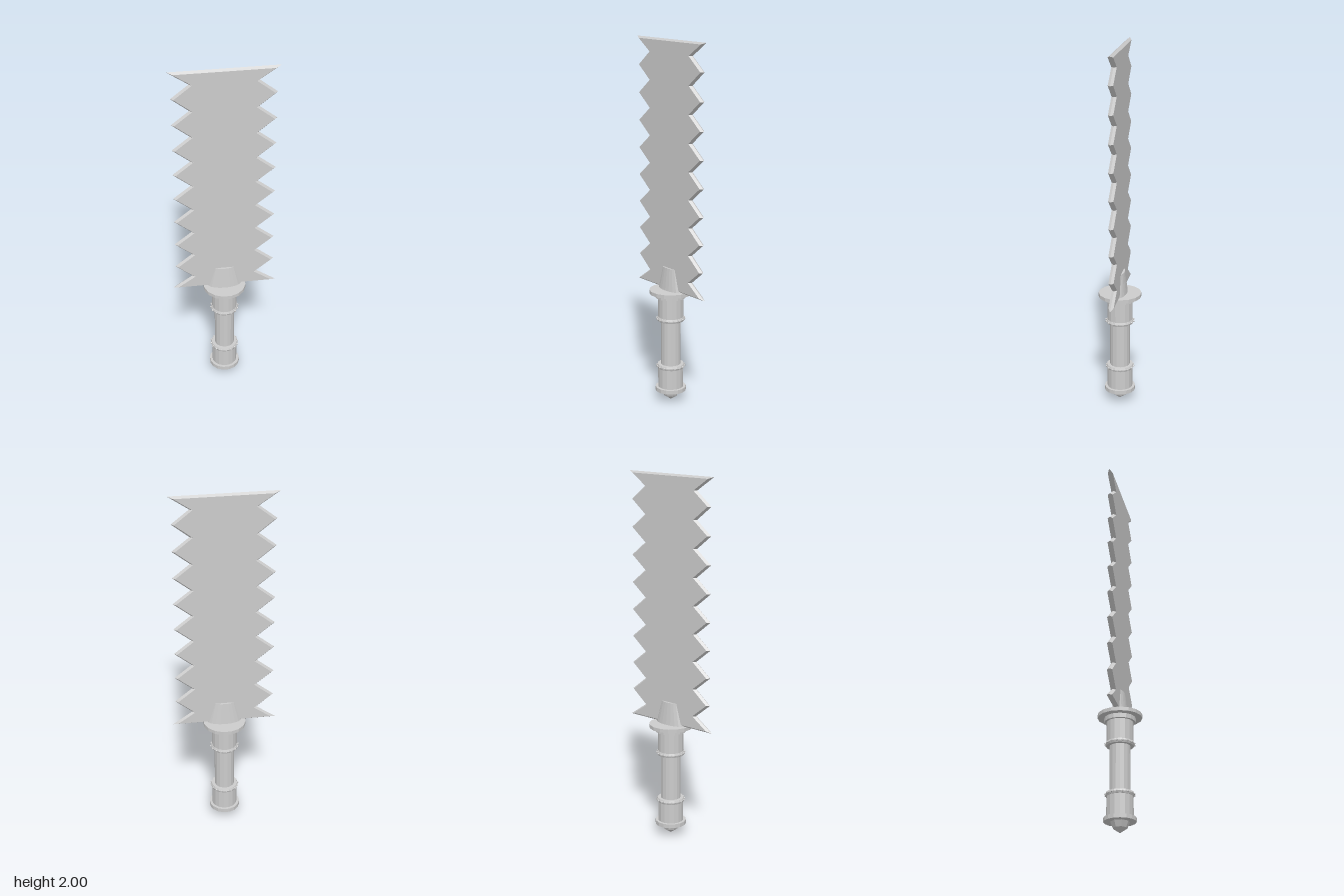
import * as THREE from 'three';

const material = new THREE.MeshStandardMaterial({ color: 0xcccccc, flatShading: true });
const SIDES = 16;

function add(parent, name, geometry) {
  const mesh = new THREE.Mesh(geometry, material);
  mesh.name = name;
  parent.add(mesh);
  return mesh;
}

// Lathe from [radius, y] pairs, listed bottom to top
function turned(profile, sides = SIDES) {
  const g = new THREE.LatheGeometry(profile.map(([r, y]) => new THREE.Vector2(r, y)), sides);
  return g.rotateY(Math.PI / sides);
}

// Saw-toothed blade: sharp outline at z = 0, inset outline on both flat faces
function bladeGeometry() {
  const bottom = 0.642, top = 2, teeth = 9, half = 0.014;
  const step = (top - bottom) / teeth;
  const outer = [], inner = [];
  for (let i = 0; i <= teeth * 2; i++) {
    const y = bottom + (i * step) / 2;
    const end = i === 0 || i === teeth * 2;
    const valley = i % 2 === 1;
    const x = end ? 0.288 : valley ? 0.178 : 0.272;
    const lift = i === 0 ? 0.01 : i === teeth * 2 ? -0.01 : 0;
    outer.push(new THREE.Vector2(x, y));
    inner.push(new THREE.Vector2(x - (end ? 0.03 : 0.015), y + lift));
  }
  const mirror = (list) => list.concat(list.map((p) => new THREE.Vector2(-p.x, p.y)).reverse());
  const rim = mirror(outer), face = mirror(inner);
  const n = rim.length, pos = [];
  const tri = (a, b, c) => pos.push(...a, ...b, ...c);
  const at = (p, z) => [p.x, p.y, z];
  // Bevels to the front and back
  for (let i = 0; i < n; i++) {
    const j = (i + 1) % n;
    const a = at(rim[i], 0), b = at(rim[j], 0);
    const fi = at(face[i], half), fj = at(face[j], half);
    const bi = at(face[i], -half), bj = at(face[j], -half);
    tri(a, b, fj);
    tri(a, fj, fi);
    tri(b, a, bi);
    tri(b, bi, bj);
  }
  // Flat faces
  for (const [i, j, k] of THREE.ShapeUtils.triangulateShape(face, [])) {
    tri(at(face[i], half), at(face[j], half), at(face[k], half));
    tri(at(face[k], -half), at(face[j], -half), at(face[i], -half));
  }
  const g = new THREE.BufferGeometry();
  g.setAttribute('position', new THREE.Float32BufferAttribute(pos, 3));
  g.computeVertexNormals();
  return g;
}

// Narrow band with small studs around it
function studdedBand(name, y) {
  const band = new THREE.Group();
  band.name = name;
  add(band, 'bandRing', turned([[0.05, -0.011], [0.073, -0.011], [0.077, 0], [0.073, 0.011], [0.05, 0.011]]));
  const stud = new THREE.CylinderGeometry(0.004, 0.006, 0.008, 6).rotateX(Math.PI / 2).translate(0, 0, 0.077);
  for (let i = 0; i < SIDES; i++) {
    add(band, 'stud', stud).rotation.y = (i / SIDES) * Math.PI * 2;
  }
  band.position.y = y;
  return band;
}

export function createModel() {
  const sword = new THREE.Group();
  sword.name = 'serratedSword';

  add(sword, 'blade', bladeGeometry());

  // Tapered oval socket holding the blade
  const socket = new THREE.CylinderGeometry(0.061, 0.095, 0.13, 20).scale(1, 1, 0.43);
  add(sword, 'bladeSocket', socket).position.y = 0.7;

  // Guard disc and the collar below it
  add(sword, 'guard', turned([[0, 0.622], [0.118, 0.622], [0.118, 0.642], [0, 0.642]]));
  add(sword, 'guardCollar', turned([[0.06, 0.598], [0.083, 0.598], [0.083, 0.622], [0.06, 0.622]]));

  // Grip with thicker sleeves at both ends
  add(sword, 'grip', turned([[0.055, 0.18], [0.055, 0.49]]));
  add(sword, 'upperSleeve', turned([[0.05, 0.466], [0.07, 0.466], [0.07, 0.61], [0.05, 0.61]]));
  add(sword, 'lowerSleeve', turned([[0.05, 0.07], [0.07, 0.07], [0.07, 0.208], [0.05, 0.208]]));
  sword.add(studdedBand('upperBand', 0.476), studdedBand('lowerBand', 0.202));

  // Pommel ring and faceted point
  add(sword, 'pommelRing', turned([[0, 0.058], [0.085, 0.058], [0.085, 0.08], [0.06, 0.08]]));
  add(sword, 'pommelPoint', turned([[0, 0], [0.038, 0.026], [0.052, 0.06]], 8));

  return sword;
}
